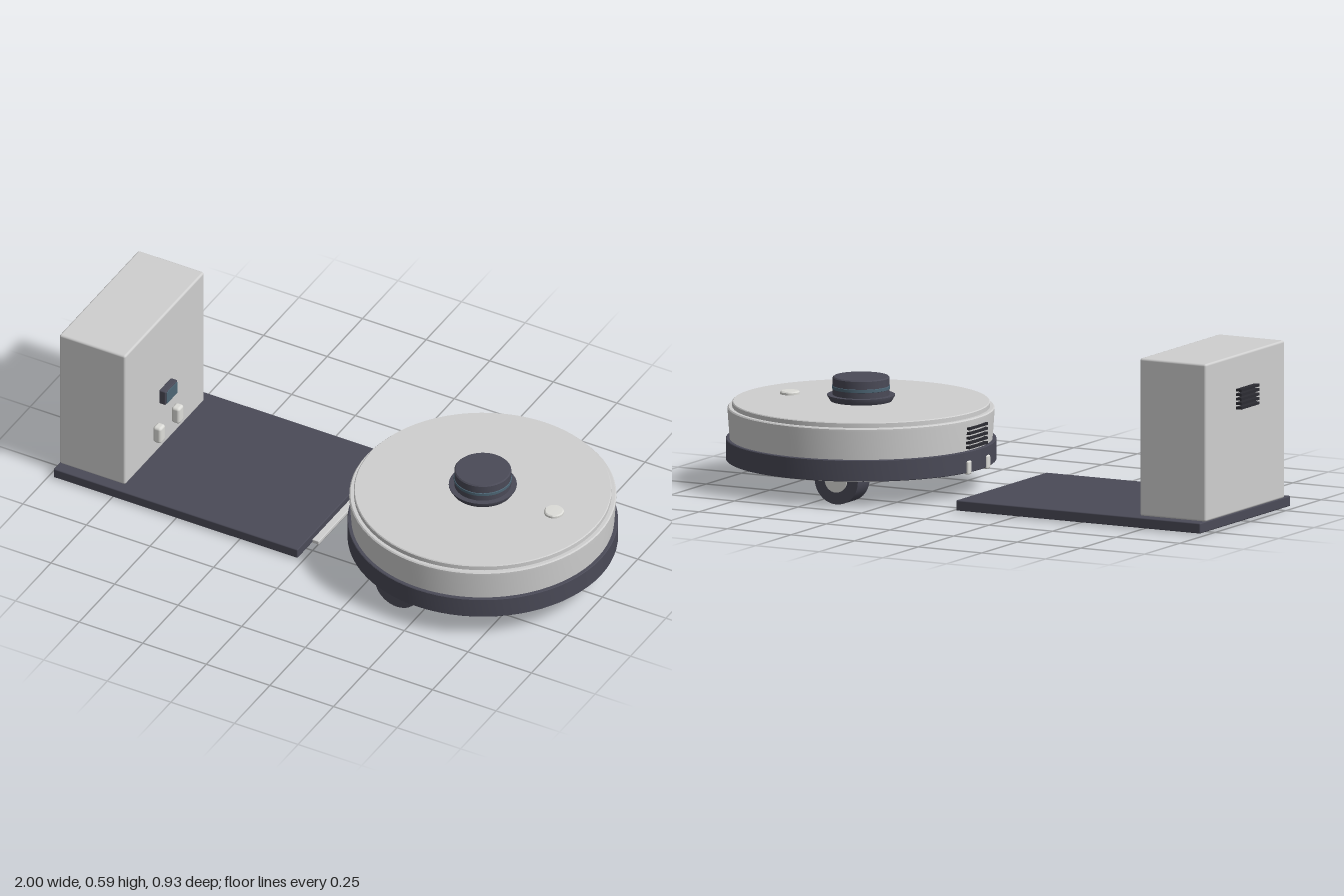
import * as THREE from 'three';
import { toCreasedNormals } from 'three/addons/utils/BufferGeometryUtils.js';
import { RoundedBoxGeometry } from 'three/addons/geometries/RoundedBoxGeometry.js';

const material = (name, color) => {
  const m = new THREE.MeshStandardMaterial({ color });
  m.name = name;
  return m;
};

export function createModel() {
  const shell = material('light shell', 0xcfcfcf);
  const dark = material('dark plastic', 0x4a4a57);
  const black = material('black vent', 0x2c2c33);
  const glass = material('blue glass', 0x4d6675);
  const metal = material('contact metal', 0xdcdcd8);

  const add = (parent, name, geometry, mat, x = 0, y = 0, z = 0) => {
    const mesh = new THREE.Mesh(geometry, mat);
    mesh.name = name;
    mesh.position.set(x, y, z);
    parent.add(mesh);
    return mesh;
  };
  const box = (w, h, d, r = 0.004) => new RoundedBoxGeometry(w, h, d, 2, r);
  // Round part from [radius, height] pairs, with crisp edges
  const turned = (points, segments = 72) => toCreasedNormals(
    new THREE.LatheGeometry(points.map(([r, y]) => new THREE.Vector2(r, y)), segments), 0.6);
  const group = (name, parent) => {
    const g = new THREE.Group();
    g.name = name;
    parent.add(g);
    return g;
  };
  // Stack of horizontal slats
  const slats = (parent, name, x, y, step, count, depth, width) => {
    const g = group(name, parent);
    for (let i = 0; i < count; i++) add(g, 'ventSlat', new THREE.BoxGeometry(depth, 0.009, width), black, x, y + i * step, 0);
  };

  const model = new THREE.Group();
  model.name = 'robotVacuumAndDock';

  // Charging dock
  const dock = group('dock', model);
  add(dock, 'dockBase', box(0.96, 0.036, 0.64), dark, -0.5, 0.022, 0);
  add(dock, 'dockLip', box(0.255, 0.015, 0.43, 0.003), shell, -0.1225, 0.0095, 0);
  add(dock, 'dockTower', box(0.26, 0.55, 0.56, 0.008), shell, -0.85, 0.313, 0);
  add(dock, 'screenFrame', box(0.026, 0.056, 0.084), dark, -0.707, 0.262, 0);
  add(dock, 'screenGlass', new THREE.BoxGeometry(0.004, 0.046, 0.072), glass, -0.693, 0.262, 0);
  for (const s of [-1, 1]) add(dock, 'dockContact', box(0.032, 0.066, 0.038, 0.01), metal, -0.706, 0.127, s * 0.065);
  slats(dock, 'dockVent', -0.988, 0.404, 0.0155, 5, 0.024, 0.13);

  // Robot body
  const robot = group('robot', model);
  robot.position.x = 0.53;
  add(robot, 'body', turned([[0, 0.087], [0.45, 0.087], [0.452, 0.165], [0.459, 0.262], [0.459, 0.27], [0.455, 0.274], [0, 0.274]]), shell);
  add(robot, 'bumper', turned([[0.449, 0.09], [0.463, 0.09], [0.465, 0.092], [0.465, 0.162], [0.463, 0.164], [0.45, 0.164]]), dark);
  add(robot, 'lid', turned([[0.443, 0.272], [0.443, 0.289], [0.44, 0.292], [0, 0.294]]), shell);

  // Sensor turret and button
  add(robot, 'turretBase', turned([[0, 0.29], [0.105, 0.292], [0.117, 0.312], [0.117, 0.315], [0, 0.316]], 48), dark);
  add(robot, 'turret', turned([[0.098, 0.314], [0.098, 0.374], [0.094, 0.378], [0, 0.378]], 48), dark);
  add(robot, 'turretGlass', turned([[0.096, 0.334], [0.1, 0.336], [0.1, 0.346], [0.096, 0.348]], 48), glass);
  add(robot, 'button', turned([[0.034, 0.29], [0.034, 0.3], [0.03, 0.304], [0, 0.305]], 32), metal, 0.28);

  // Rear vents and charging contacts
  slats(robot, 'robotVent', -0.453, 0.176, 0.0165, 5, 0.02, 0.13);
  for (const s of [-1, 1]) add(robot, 'robotContact', box(0.018, 0.048, 0.026, 0.006), metal, -0.457, 0.108, s * 0.066);

  // Drive wheels with hubs showing on both sides
  for (const s of [-1, 1]) {
    const wheel = group('wheel', robot);
    wheel.position.set(-0.12, 0.085, s * 0.35);
    wheel.rotation.x = Math.PI / 2;
    add(wheel, 'tyre', new THREE.CylinderGeometry(0.085, 0.085, 0.084, 40), dark);
    add(wheel, 'hub', new THREE.CylinderGeometry(0.043, 0.043, 0.094, 32), metal);
  }

  // Underside brush, caster and floor sensor
  const brush = add(robot, 'brushRoller', new THREE.CylinderGeometry(0.06, 0.06, 0.514, 32), dark, -0.025, 0.09, 0);
  brush.rotation.x = Math.PI / 2;
  add(robot, 'caster', new THREE.CylinderGeometry(0.034, 0.042, 0.072, 32), dark, 0.315, 0.052, 0);
  add(robot, 'floorSensor', new THREE.CylinderGeometry(0.026, 0.026, 0.028, 32), metal, 0.37, 0.075, 0.16);

  return model;
}
